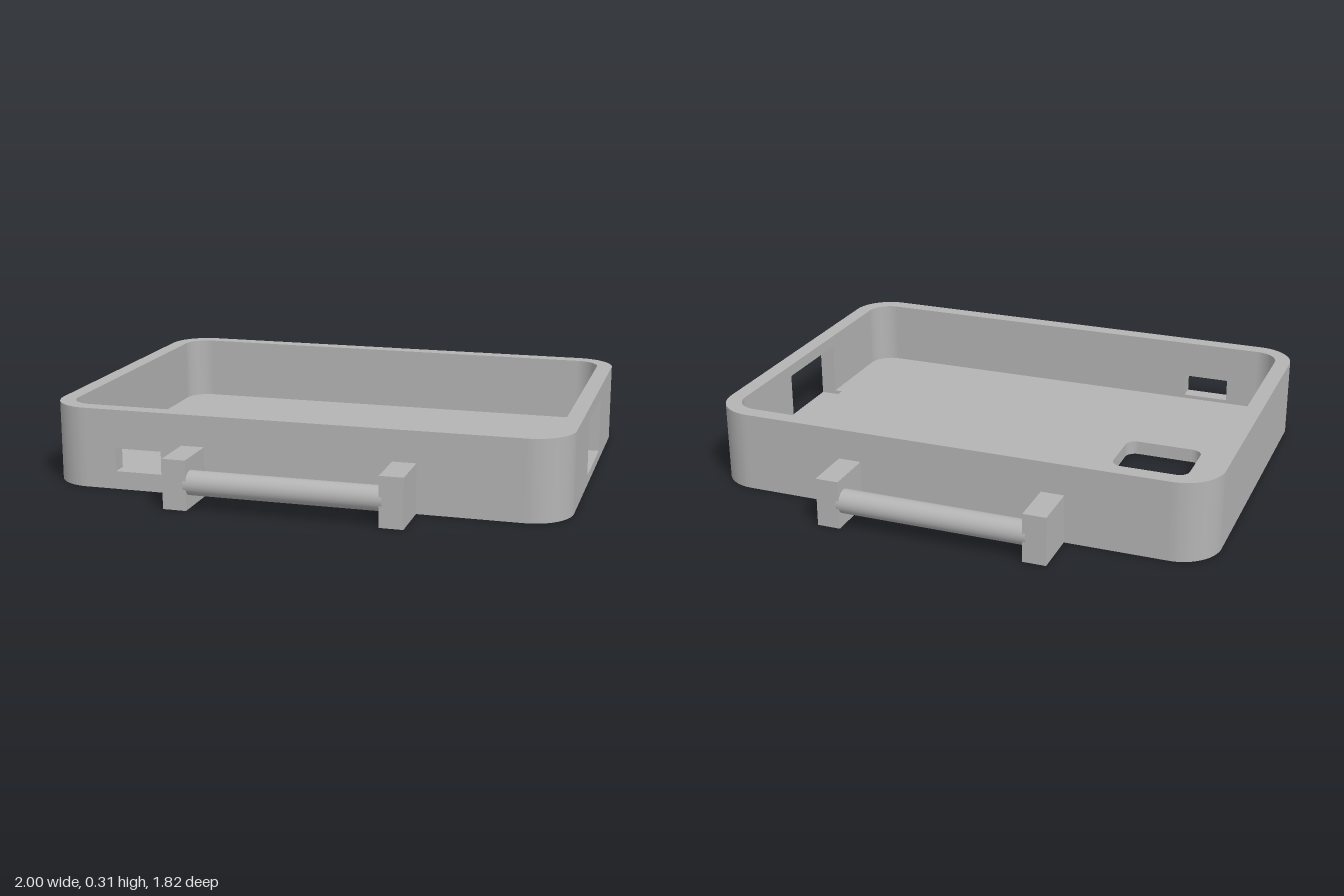
import * as THREE from 'three';
import { toCreasedNormals } from 'three/addons/utils/BufferGeometryUtils.js';

const W = 1, D = 0.718, H = 0.31;      // half width, half depth, height
const WALL = 0.062, R = 0.156;         // wall thickness, outer corner radius
const LEDGE = 0.039, FLOOR = 0.055;    // side window sill and floor top

const grey = new THREE.MeshStandardMaterial({ color: 0xb4b4b4 });
grey.name = 'grey plastic';

function add(parent, geometry, name) {
  const mesh = new THREE.Mesh(geometry, grey);
  mesh.name = name;
  parent.add(mesh);
  return mesh;
}

// Rounded rectangle outline; an optional notch is cut into its +x side
function roundedRect(path, cx, hx, hy, r, notch) {
  const q = Math.PI / 2;
  path.moveTo(cx + hx, -hy + r);
  if (notch) {
    path.lineTo(cx + hx, -notch.half);
    path.lineTo(notch.x, -notch.half);
    path.lineTo(notch.x, notch.half);
    path.lineTo(cx + hx, notch.half);
  }
  path.absarc(cx + hx - r, hy - r, r, 0, q, false);
  path.absarc(cx - hx + r, hy - r, r, q, 2 * q, false);
  path.absarc(cx - hx + r, -hy + r, r, 2 * q, 3 * q, false);
  path.absarc(cx + hx - r, -hy + r, r, 3 * q, 4 * q, false);
  return path;
}

function extrude(shape, depth) {
  const g = new THREE.ExtrudeGeometry(shape, { depth, bevelEnabled: false, curveSegments: 16 });
  return toCreasedNormals(g, 0.5);
}

// Extrusion of a plan shape upwards from y0 to y1
function slab(shape, y0, y1) {
  return extrude(shape, y1 - y0).rotateX(-Math.PI / 2).translate(0, y0, 0);
}

// Flat wall panel with an optional rectangular window [x0, x1, y0, y1]
function panel(half, win) {
  const s = new THREE.Shape();
  s.moveTo(-half, 0).lineTo(half, 0).lineTo(half, H).lineTo(-half, H).closePath();
  if (win) {
    const [x0, x1, y0, y1] = win;
    const h = new THREE.Path();
    h.moveTo(x0, y0).lineTo(x0, y1).lineTo(x1, y1).lineTo(x1, y0).closePath();
    s.holes.push(h);
  }
  return extrude(s, WALL);
}

export function createModel() {
  const model = new THREE.Group();
  model.name = 'tray case';

  // Floor in two layers: the upper one is notched below the side window
  const floor = new THREE.Group();
  floor.name = 'floor';
  model.add(floor);
  [[0, LEDGE, null], [LEDGE, FLOOR, { x: 0.906, half: 0.19 }]].forEach(([y0, y1, notch], i) => {
    const s = roundedRect(new THREE.Shape(), 0, W - WALL, D - WALL, R - WALL, notch);
    s.holes.push(roundedRect(new THREE.Path(), -0.597, 0.157, 0.127, 0.045));
    add(floor, slab(s, y0, y1), i ? 'floorTop' : 'floorBase');
  });

  // Straight walls, with a small window in front and a large one at +x
  const walls = new THREE.Group();
  walls.name = 'walls';
  model.add(walls);
  add(walls, panel(W - R, [-0.72, -0.535, 0.07, 0.16]).translate(0, 0, D - WALL), 'frontWall');
  add(walls, panel(W - R).translate(0, 0, -D), 'backWall');
  add(walls, panel(D - R, [-0.19, 0.19, LEDGE, 0.263]).rotateY(Math.PI / 2).translate(W - WALL, 0, 0), 'leftWall');
  add(walls, panel(D - R).rotateY(Math.PI / 2).translate(-W, 0, 0), 'rightWall');

  // Rounded wall corners
  [[1, 1], [-1, 1], [-1, -1], [1, -1]].forEach(([sx, sy], i) => {
    const a = i * Math.PI / 2, b = a + Math.PI / 2;
    const cx = sx * (W - R), cy = sy * (D - R);
    const s = new THREE.Shape();
    s.absarc(cx, cy, R, a, b, false);
    s.absarc(cx, cy, R - WALL, b, a, true);
    s.closePath();
    add(walls, slab(s, 0, H), 'wallCorner');
  });

  // Handles in front and back: two blocks and a round bar
  for (const side of [1, -1]) {
    const handle = new THREE.Group();
    handle.name = side > 0 ? 'frontHandle' : 'backHandle';
    model.add(handle);
    for (const sx of [1, -1]) {
      const block = add(handle, new THREE.BoxGeometry(0.09, 0.19, 0.192), 'handleBlock');
      block.position.set(sx * 0.406, 0.095, side * 0.813);
    }
    const bar = add(handle, new THREE.CylinderGeometry(0.046, 0.046, 0.744, 48).rotateZ(Math.PI / 2), 'handleBar');
    bar.position.set(0, 0.096, side * 0.866);
  }
  return model;
}
